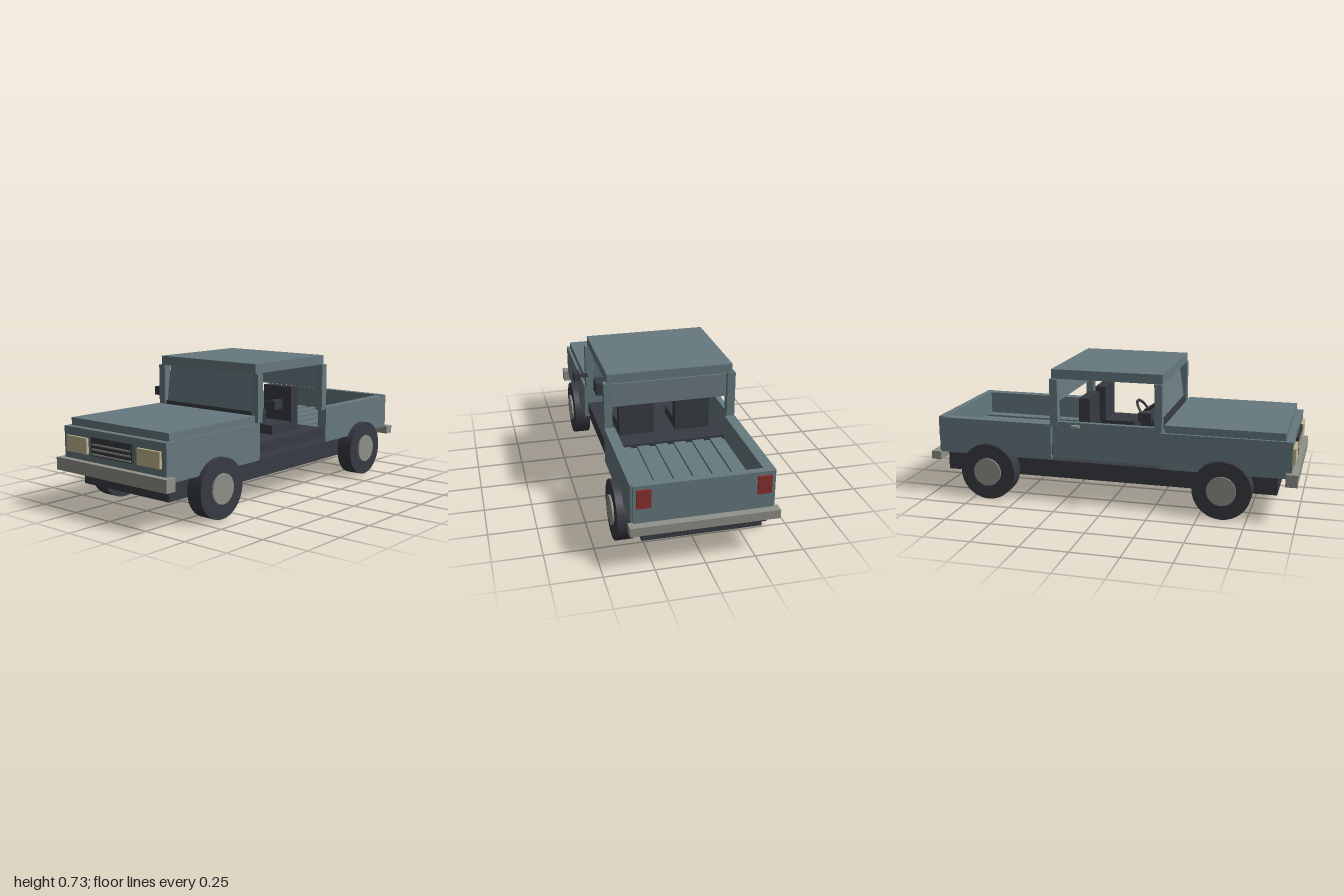
import * as THREE from 'three';

const mat = (name, color) => {
  const m = new THREE.MeshStandardMaterial({ color });
  m.name = name;
  return m;
};

export function createModel() {
  const paint = mat('body paint', 0x667a7f);
  const glass = mat('window glass', 0x6b7c84);
  const dark = mat('dark trim', 0x383b43);
  const metal = mat('bumper grey', 0x91918b);
  const lamp = mat('headlight cream', 0xc2b78f);
  const red = mat('tail light red', 0x8c3032);

  const truck = new THREE.Group();
  truck.name = 'pickupTruck';

  const add = (name, geometry, material, parent = truck) => {
    const mesh = new THREE.Mesh(geometry, material);
    mesh.name = name;
    parent.add(mesh);
    return mesh;
  };
  // Box given by its lower and upper limits on each axis
  const box = (name, material, x0, x1, y0, y1, z0, z1) => {
    const mesh = add(name, new THREE.BoxGeometry(x1 - x0, y1 - y0, z1 - z0), material);
    mesh.position.set((x0 + x1) / 2, (y0 + y1) / 2, (z0 + z1) / 2);
    return mesh;
  };
  // The same box on both sides
  const pair = (name, material, x0, x1, ...rest) => {
    box(name + 'Left', material, x0, x1, ...rest);
    box(name + 'Right', material, -x1, -x0, ...rest);
  };

  // Chassis and bumpers
  box('chassis', dark, -0.3, 0.3, 0.125, 0.22, -0.93, 0.895);
  box('frontBumper', metal, -0.39, 0.39, 0.202, 0.267, 0.94, 1);
  box('rearBumper', metal, -0.37, 0.37, 0.197, 0.242, -1, -0.945);

  // Nose and hood
  box('noseBody', paint, -0.36, 0.36, 0.235, 0.428, 0.29, 0.967);
  box('hood', paint, -0.345, 0.345, 0.428, 0.467, 0.31, 0.932);

  // Grille and headlights
  box('grille', dark, -0.145, 0.145, 0.302, 0.397, 0.967, 0.98);
  for (const y of [0.312, 0.337, 0.362]) {
    box('grilleBar', metal, -0.137, 0.137, y - 0.004, y + 0.004, 0.98, 0.985);
  }
  pair('headlight', lamp, 0.178, 0.33, 0.304, 0.385, 0.967, 0.982);

  // Cab: floor, posts, roof and the single door
  box('cabFloor', dark, -0.34, 0.34, 0.265, 0.32, -0.305, 0.29);
  pair('frontPillar', paint, 0.31, 0.353, 0.428, 0.68, 0.258, 0.298);
  pair('rearPillar', paint, 0.31, 0.353, 0.425, 0.68, -0.31, -0.268);
  box('roof', paint, -0.335, 0.335, 0.68, 0.73, -0.305, 0.295);
  box('door', paint, -0.345, -0.315, 0.25, 0.45, -0.3, 0.288);
  box('doorHandle', metal, -0.37, -0.345, 0.425, 0.438, -0.19, -0.145);

  // Windows
  const windshield = add('windshield', new THREE.BoxGeometry(0.614, 0.215, 0.01), glass);
  windshield.position.set(0, 0.567, 0.264);
  windshield.rotation.x = -0.14;
  box('rearWindow', glass, -0.307, 0.307, 0.545, 0.672, -0.295, -0.285);

  // Interior
  box('dashboard', dark, -0.31, 0.31, 0.41, 0.483, 0.175, 0.29);
  for (const x of [-0.155, 0.155]) {
    box('seatCushion', dark, x - 0.095, x + 0.095, 0.32, 0.37, -0.12, 0.05);
    box('seatBack', dark, x - 0.095, x + 0.095, 0.32, 0.562, -0.18, -0.12);
  }
  const steering = new THREE.Group();
  steering.name = 'steering';
  steering.position.set(-0.17, 0.495, 0.165);
  steering.rotation.x = -0.55 + Math.PI; // rim leans back towards the seat
  steering.rotation.x = 0.55 - Math.PI / 2 + Math.PI / 2;
  steering.rotation.x = -0.6;
  truck.add(steering);
  add('steeringWheel', new THREE.TorusGeometry(0.068, 0.007, 8, 24), dark, steering);
  add('steeringSpoke', new THREE.BoxGeometry(0.13, 0.014, 0.008), dark, steering);
  const column = add('steeringColumn', new THREE.CylinderGeometry(0.01, 0.01, 0.08, 10), dark, steering);
  column.rotation.x = Math.PI / 2;
  column.position.z = 0.04;

  // Side mirrors
  pair('mirrorArm', dark, 0.35, 0.395, 0.516, 0.532, 0.212, 0.232);
  pair('mirrorHead', dark, 0.394, 0.43, 0.5, 0.547, 0.192, 0.258);

  // Cargo bed with raised floor ribs
  box('bedFloor', paint, -0.3, 0.3, 0.24, 0.3, -0.92, -0.307);
  pair('bedWall', paint, 0.3, 0.355, 0.24, 0.434, -0.945, -0.307);
  box('tailgate', paint, -0.345, 0.345, 0.24, 0.437, -0.958, -0.92);
  for (let i = 0; i < 6; i++) {
    const x = -0.25 + i * 0.1;
    box('bedRib', paint, x - 0.032, x + 0.032, 0.3, 0.314, -0.915, -0.315);
  }
  pair('tailLight', red, 0.26, 0.33, 0.322, 0.418, -0.967, -0.958);

  // Wheels with hub caps
  for (const side of [1, -1]) {
    for (const [end, z] of [['front', 0.62], ['rear', -0.66]]) {
      const wheel = new THREE.Group();
      wheel.name = end + 'Wheel' + (side > 0 ? 'Left' : 'Right');
      wheel.position.set(side * 0.348, 0.154, z);
      wheel.rotation.z = -side * Math.PI / 2;
      truck.add(wheel);
      add('tire', new THREE.CylinderGeometry(0.154, 0.154, 0.088, 36), dark, wheel);
      const hub = add('hubCap', new THREE.CylinderGeometry(0.077, 0.077, 0.02, 28), metal, wheel);
      hub.position.y = 0.044;
    }
  }
  return truck;
}
